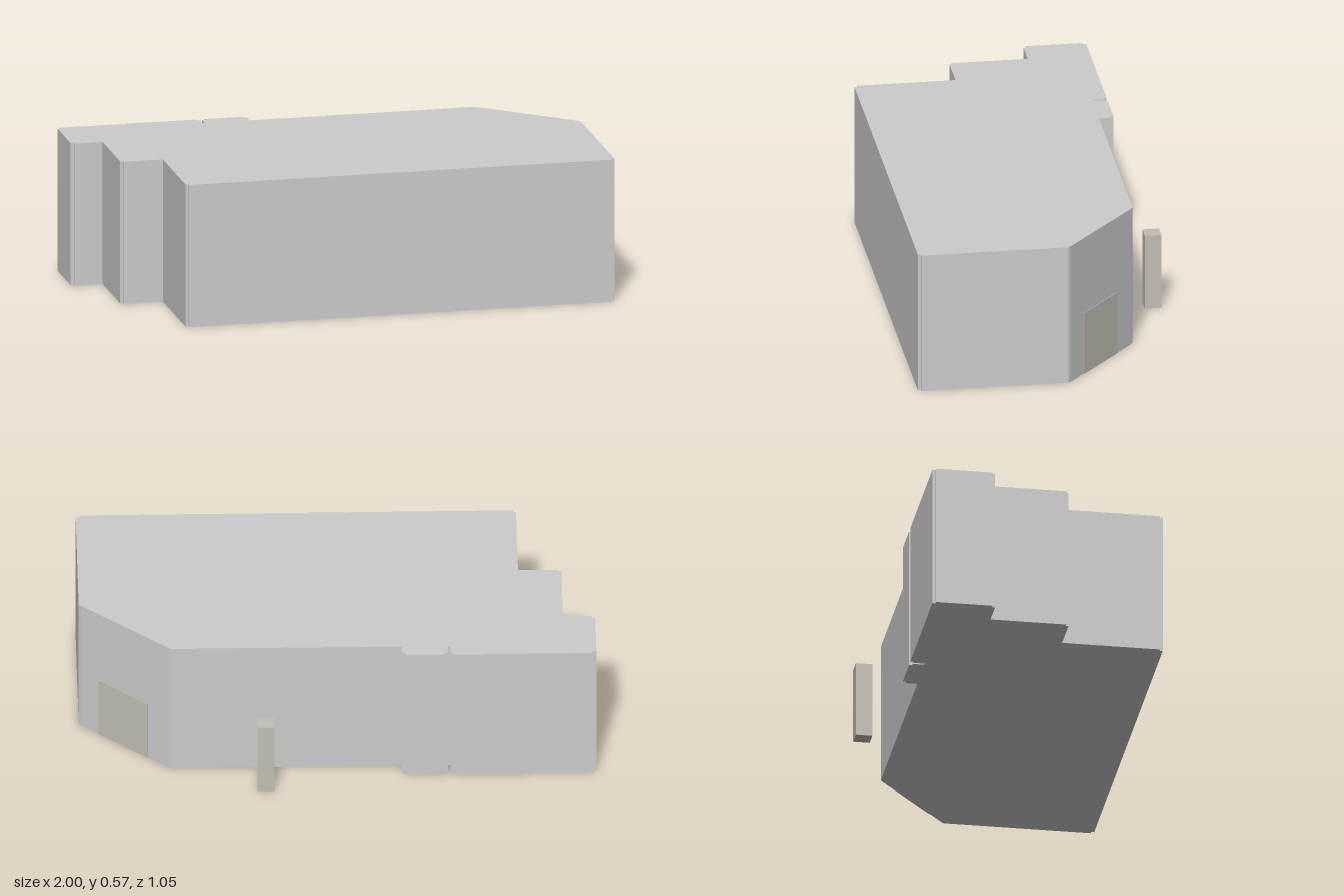
import * as THREE from 'three';

const HEIGHT = 0.57;

export function createModel() {
  const model = new THREE.Group();
  const grey = new THREE.MeshStandardMaterial({ color: 0xcccccc, flatShading: true });
  const stone = new THREE.MeshStandardMaterial({ color: 0xc2bfb4, flatShading: true });

  const add = (name, geometry, material, x, y, z) => {
    const mesh = new THREE.Mesh(geometry, material);
    mesh.name = name;
    mesh.position.set(x, y, z);
    model.add(mesh);
    return mesh;
  };

  // Floor plan as [x, z] with small open notches where wall panels meet
  const plan = [
    [-0.695, 0.527], [0.987, 0.527], [0.987, 0.515], [1, 0.515],
    [1, -0.062], [0.99, -0.073], [0.657, -0.358], [0.645, -0.365],
    [-0.247, -0.365], [-0.247, -0.411], [-0.26, -0.411], [-0.26, -0.424],
    [-0.412, -0.424], [-0.412, -0.411], [-0.425, -0.411], [-0.425, -0.365],
    [-0.435, -0.365], [-0.435, -0.411], [-0.446, -0.411], [-0.446, -0.424],
    [-0.987, -0.424], [-0.987, -0.411], [-1, -0.411],
    [-1, -0.19], [-0.987, -0.19], [-0.987, -0.178], [-0.875, -0.178],
    [-0.875, 0.12], [-0.862, 0.12], [-0.862, 0.13],
    [-0.707, 0.13], [-0.707, 0.515], [-0.695, 0.515],
  ];
  const shape = new THREE.Shape(plan.map(([x, z]) => new THREE.Vector2(x, -z)));
  const block = new THREE.ExtrudeGeometry(shape, { depth: HEIGHT, bevelEnabled: false });
  block.rotateX(-Math.PI / 2);
  add('buildingBlock', block, grey, 0, 0, 0);

  // Door set in the slanted back corner wall
  const a = new THREE.Vector2(0.99, -0.073);
  const b = new THREE.Vector2(0.657, -0.358);
  const along = b.clone().sub(a);
  const doorCentre = a.clone().addScaledVector(along, (0.21 - 0.073) / (0.358 - 0.073));
  const doorWidth = 0.16 * along.length() / Math.abs(along.y);
  const door = add('door', new THREE.BoxGeometry(doorWidth, 0.257, 0.006), stone,
    doorCentre.x, 0.1285, doorCentre.y);
  door.rotation.y = Math.atan2(-along.y, along.x);

  // Free-standing post behind the back wall
  add('post', new THREE.BoxGeometry(0.065, 0.306, 0.065), stone, 0.283, 0.153, -0.494);

  return model;
}
